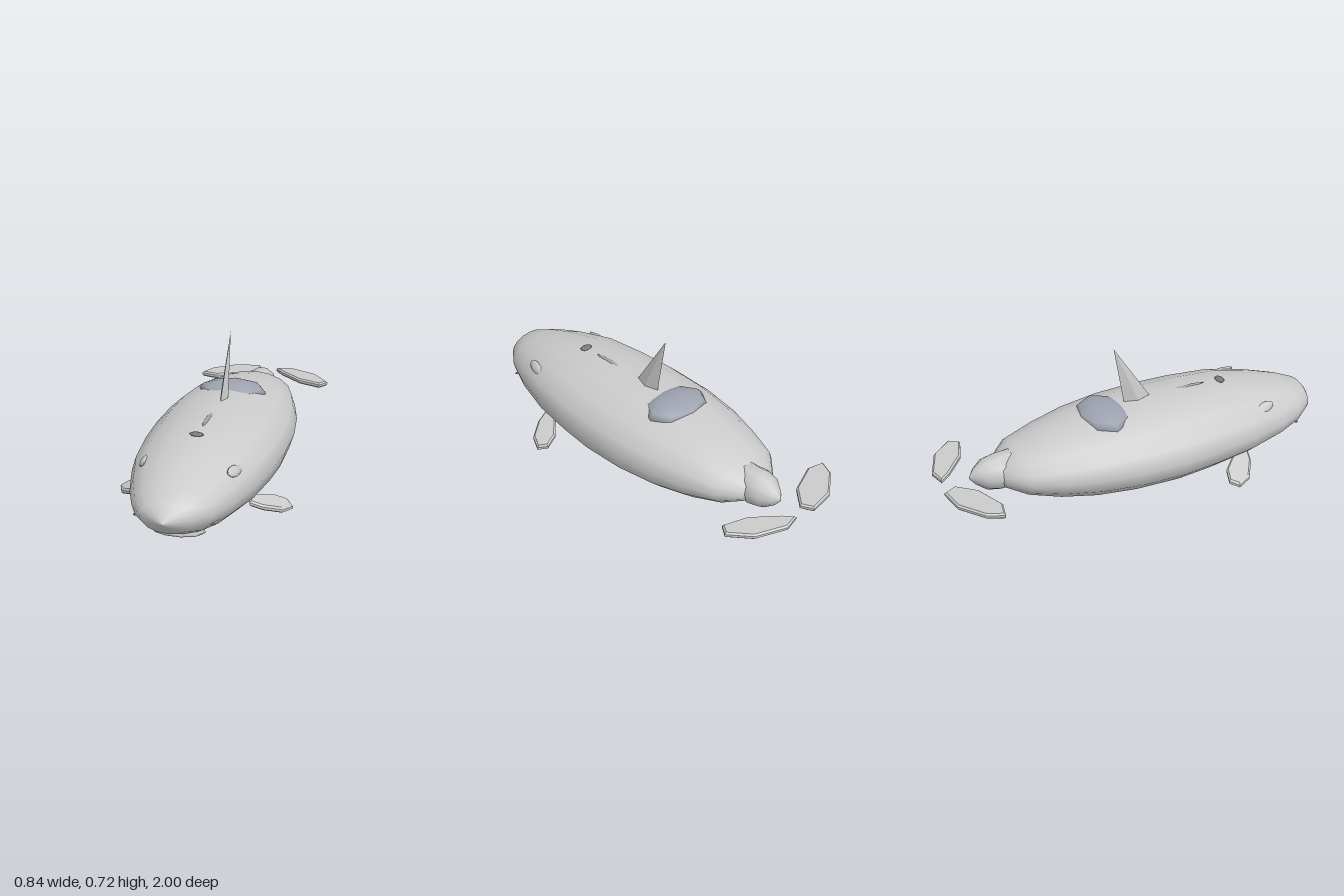
import * as THREE from 'three';

const grey = new THREE.MeshStandardMaterial({ color: 0xcccccc });
const greyFlat = new THREE.MeshStandardMaterial({ color: 0xcccccc, flatShading: true });
const patchMat = new THREE.MeshStandardMaterial({ color: 0x9ea3b0 });
const darkMat = new THREE.MeshStandardMaterial({ color: 0x77797f });

// Smooth skin over elliptical rings [z, half width, bottom y, top y], front to back
function loft(rings, sides) {
  const pos = [], idx = [];
  rings.forEach(([z, w, y0, y1], i) => {
    for (let j = 0; j < sides; j++) {
      const a = (j / sides) * Math.PI * 2;
      pos.push(w * Math.cos(a), (y0 + y1) / 2 + ((y1 - y0) / 2) * Math.sin(a), z);
      if (i === rings.length - 1) continue;
      const k = (j + 1) % sides, p = i * sides, q = p + sides;
      idx.push(p + j, q + j, p + k, p + k, q + j, q + k);
    }
  });
  const g = new THREE.BufferGeometry();
  g.setAttribute('position', new THREE.Float32BufferAttribute(pos, 3));
  g.setIndex(idx);
  g.computeVertexNormals();
  return g;
}

// Thin horizontal plate from an outline of [x, z]
function plate(outline, thickness) {
  const shape = new THREE.Shape(outline.map(([x, z]) => new THREE.Vector2(x, -z)));
  const b = 0.008;
  const g = new THREE.ExtrudeGeometry(shape, {
    depth: thickness - 2 * b, bevelThickness: b, bevelSize: b, bevelOffset: -b, bevelSegments: 1,
  });
  return g.translate(0, 0, b - thickness / 2).rotateX(-Math.PI / 2);
}

export function createModel() {
  const group = new THREE.Group();
  const add = (name, geo, mat, x = 0, y = 0, z = 0) => {
    const m = new THREE.Mesh(geo, mat);
    m.name = name;
    m.position.set(x, y, z);
    group.add(m);
    return m;
  };
  const blob = (rx, ry, rz, seg = 8) => new THREE.SphereGeometry(1, seg, 6).scale(rx, ry, rz);

  // Body
  add('body', loft([
    [1, 0.0, 0.215, 0.22], [0.94, 0.12, 0.145, 0.295], [0.85, 0.185, 0.1, 0.33],
    [0.72, 0.24, 0.065, 0.368], [0.52, 0.298, 0.035, 0.41], [0.3, 0.325, 0.015, 0.423],
    [0.12, 0.335, 0.004, 0.426], [-0.1, 0.33, 0.012, 0.42], [-0.3, 0.3, 0.03, 0.402],
    [-0.47, 0.253, 0.062, 0.37], [-0.62, 0.198, 0.11, 0.33], [-0.71, 0.11, 0.155, 0.275],
    [-0.73, 0, 0.21, 0.215],
  ], 16), grey, -0.008);

  // Tail stub
  add('tailStub', loft([
    [-0.58, 0.03, 0.15, 0.3], [-0.65, 0.075, 0.125, 0.315], [-0.72, 0.088, 0.128, 0.308],
    [-0.78, 0.075, 0.142, 0.297], [-0.83, 0.035, 0.18, 0.262], [-0.857, 0, 0.215, 0.225],
  ], 10), grey, -0.004);

  // Tail flukes
  const leftFluke = [[0.03, -0.98], [0.11, -1], [0.26, -0.94], [0.345, -0.84], [0.31, -0.79], [0.19, -0.83], [0.07, -0.93]];
  const rightFluke = [[-0.04, -0.94], [-0.07, -1], [-0.2, -0.98], [-0.32, -0.89], [-0.355, -0.81], [-0.27, -0.79], [-0.12, -0.85]];
  add('leftFluke', plate(leftFluke.reverse(), 0.028), greyFlat, 0, 0.213);
  add('rightFluke', plate(rightFluke, 0.028), greyFlat, 0, 0.213);

  // Pectoral fins, sloping down and outward
  const finOutline = [[0.23, 0.45], [0.25, 0.51], [0.31, 0.495], [0.39, 0.44], [0.42, 0.37], [0.385, 0.33], [0.32, 0.35]];
  for (const s of [1, -1]) {
    const g = plate(finOutline.map(([x, z]) => [x * s, z]), 0.028);
    const p = g.attributes.position;
    for (let i = 0; i < p.count; i++) {
      p.setY(i, p.getY(i) + 0.115 - 0.37 * (Math.abs(p.getX(i)) - 0.25));
    }
    g.computeVertexNormals();
    add(s > 0 ? 'leftPectoralFin' : 'rightPectoralFin', g, greyFlat);
  }

  // Dorsal fin: a four-sided spike swept back
  const fin = new THREE.ConeGeometry(1, 0.32, 4).scale(0.021, 1, 0.075);
  const fp = fin.attributes.position;
  for (let i = 0; i < fp.count; i++) {
    fp.setZ(i, fp.getZ(i) - 0.13 * (fp.getY(i) / 0.32 + 0.5));
  }
  fin.computeVertexNormals();
  add('dorsalFin', fin, greyFlat, -0.004, 0.56, 0.025);

  // Saddle patch behind the dorsal fin, and the strip and blowhole ahead of it
  add('saddlePatch', blob(0.172, 0.05, 0.125), patchMat, -0.012, 0.387, -0.17);
  add('backStrip', blob(0.012, 0.008, 0.1), patchMat, -0.006, 0.418, 0.29);
  add('blowhole', blob(0.034, 0.009, 0.022), darkMat, -0.008, 0.414, 0.475);

  // Eye patches and small eyes on both sides
  for (const s of [1, -1]) {
    const side = s > 0 ? 'left' : 'right';
    const patch = add(side + 'EyePatch', blob(0.012, 0.026, 0.06, 6), grey, s * 0.21 - 0.004, 0.322, 0.62);
    patch.rotation.set(-0.12, -s * 0.25, s * 0.6);
    add(side + 'Eye', blob(0.012, 0.005, 0.01, 6), darkMat, s * 0.176 - 0.006, 0.164, 0.835);
  }

  // Lower jaw under the snout
  const jaw = add('lowerJaw', blob(0.125, 0.025, 0.095, 10), grey, 0.005, 0.106, 0.81);
  jaw.rotation.x = -0.2;
  return group;
}
